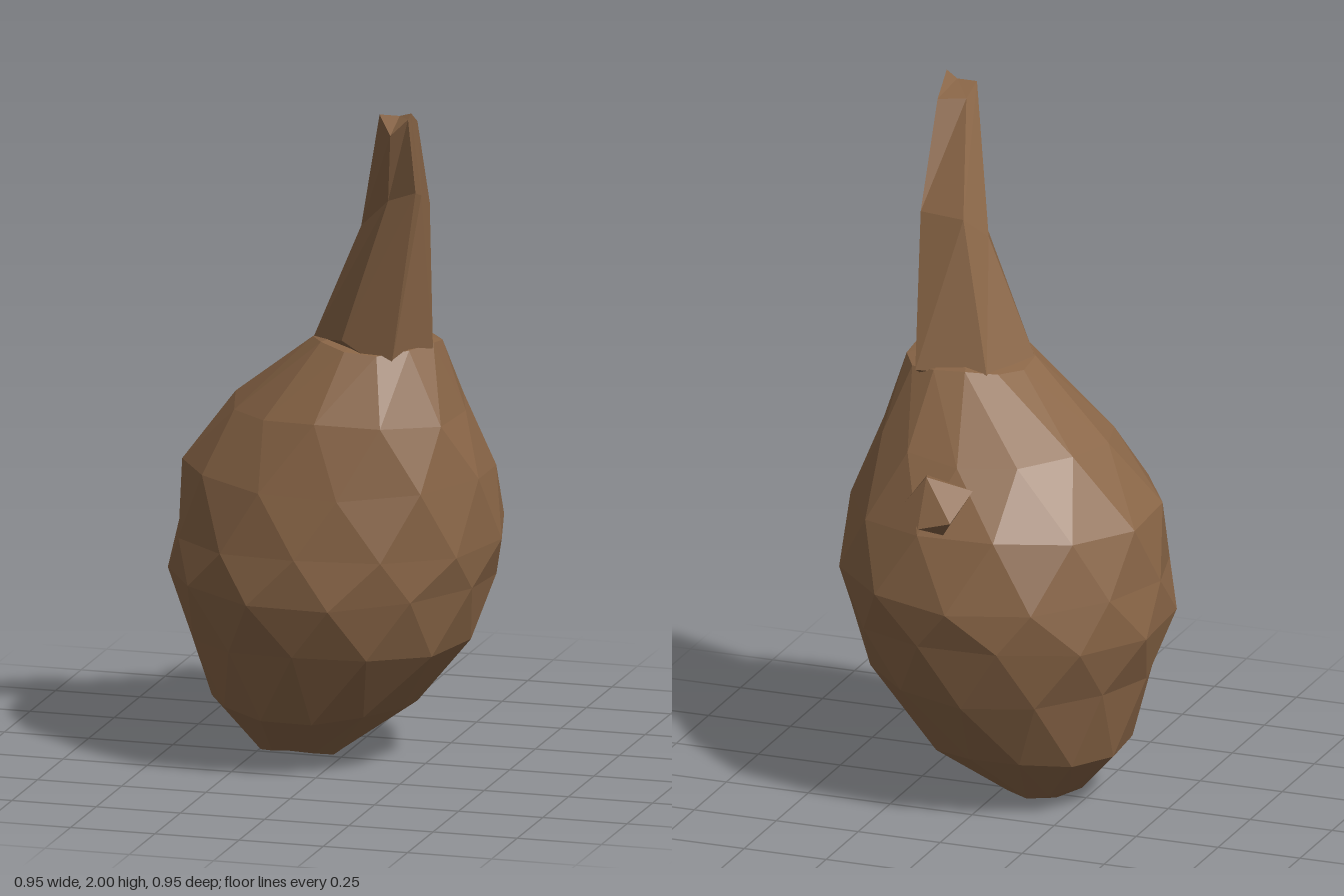
import * as THREE from 'three';
import { ConvexGeometry } from 'three/addons/geometries/ConvexGeometry.js';

// Faceted skin over stacked loops of points, closed by a fan at each end
function skin(loops, bottom, top) {
  const pos = [];
  const tri = (...corners) => corners.forEach((c) => pos.push(...c));
  const sides = loops[0].length;
  const last = loops[loops.length - 1];
  for (let i = 0; i < sides; i++) {
    const j = (i + 1) % sides;
    for (let k = 0; k < loops.length - 1; k++) {
      const lo = loops[k], hi = loops[k + 1];
      tri(lo[i], hi[i], lo[j]);
      tri(lo[j], hi[i], hi[j]);
    }
    tri(loops[0][i], loops[0][j], bottom);
    tri(last[j], last[i], top);
  }
  const geo = new THREE.BufferGeometry();
  geo.setAttribute('position', new THREE.Float32BufferAttribute(pos, 3));
  geo.computeVertexNormals();
  return geo;
}

// Elliptical loop, turned half a step on every other level, with a slightly uneven height;
// swell pushes out its front left corner
function ring([y, x0, x1, z0, z1, swell], level) {
  return Array.from({ length: 12 }, (_, i) => {
    const a = ((i + level / 2) / 12) * Math.PI * 2;
    const r = 0.5 * (1 + swell * Math.max(0, Math.cos(a - Math.PI / 4)) ** 4);
    return [
      (x0 + x1) / 2 + r * Math.cos(a) * (x1 - x0),
      y + 0.01 * Math.sin(i * 4.7 + level * 2.3),
      (z0 + z1) / 2 + r * Math.sin(a) * (z1 - z0),
    ];
  });
}

export function createModel() {
  const group = new THREE.Group();
  const brown = new THREE.MeshStandardMaterial({ color: 0x8a6647 });
  brown.name = 'gourd brown';
  brown.flatShading = true;
  const add = (name, geo) => {
    const mesh = new THREE.Mesh(geo, brown);
    mesh.name = name;
    group.add(mesh);
  };

  // Bulbous body: y, xMin, xMax, zMin, zMax, swell
  add('body', skin([
    [0.03, -0.24, 0.01, -0.12, 0.11, 0],
    [0.17, -0.37, 0.215, -0.285, 0.295, 0],
    [0.38, -0.43, 0.388, -0.395, 0.415, 0],
    [0.55, -0.49, 0.445, -0.445, 0.475, 0],
    [0.68, -0.475, 0.478, -0.462, 0.472, 0],
    [0.87, -0.45, 0.445, -0.405, 0.435, 0.07],
    [1.06, -0.30, 0.37, -0.28, 0.37, 0.16],
    [1.26, -0.05, 0.32, -0.09, 0.265, 0],
  ].map(ring), [-0.17, 0, -0.03], [0.14, 1.31, 0.1]));

  // Tapered neck curving forward; corners run right, front right, front left, left, back left, back right
  add('neck', skin([
    [[0.315, 1.24, 0.14], [0.22, 1.2, 0.245], [0.08, 1.29, 0.26], [-0.045, 1.255, 0.13], [0.03, 1.255, -0.06], [0.24, 1.255, -0.08]],
    [[0.314, 1.73, 0.25], [0.313, 1.75, 0.305], [0.23, 1.72, 0.3], [0.102, 1.6, 0.14], [0.15, 1.67, 0.065], [0.29, 1.67, 0.09]],
    [[0.32, 2, 0.37], [0.315, 1.985, 0.385], [0.27, 1.94, 0.41], [0.22, 1.985, 0.35], [0.225, 1.955, 0.28], [0.305, 1.95, 0.26]],
  ], [0.14, 1.12, 0.08], [0.28, 1.985, 0.35]));

  // Small knob on the back
  add('knob', new ConvexGeometry([
    [0.085, 1.055, -0.39], [-0.02, 0.955, -0.475], [0.08, 0.925, -0.47], [0.15, 0.97, -0.40],
    [0.11, 1.035, -0.32], [-0.045, 1.02, -0.36], [0.03, 0.89, -0.40], [0.04, 0.93, -0.30],
  ].map((p) => new THREE.Vector3(...p))));

  return group;
}
